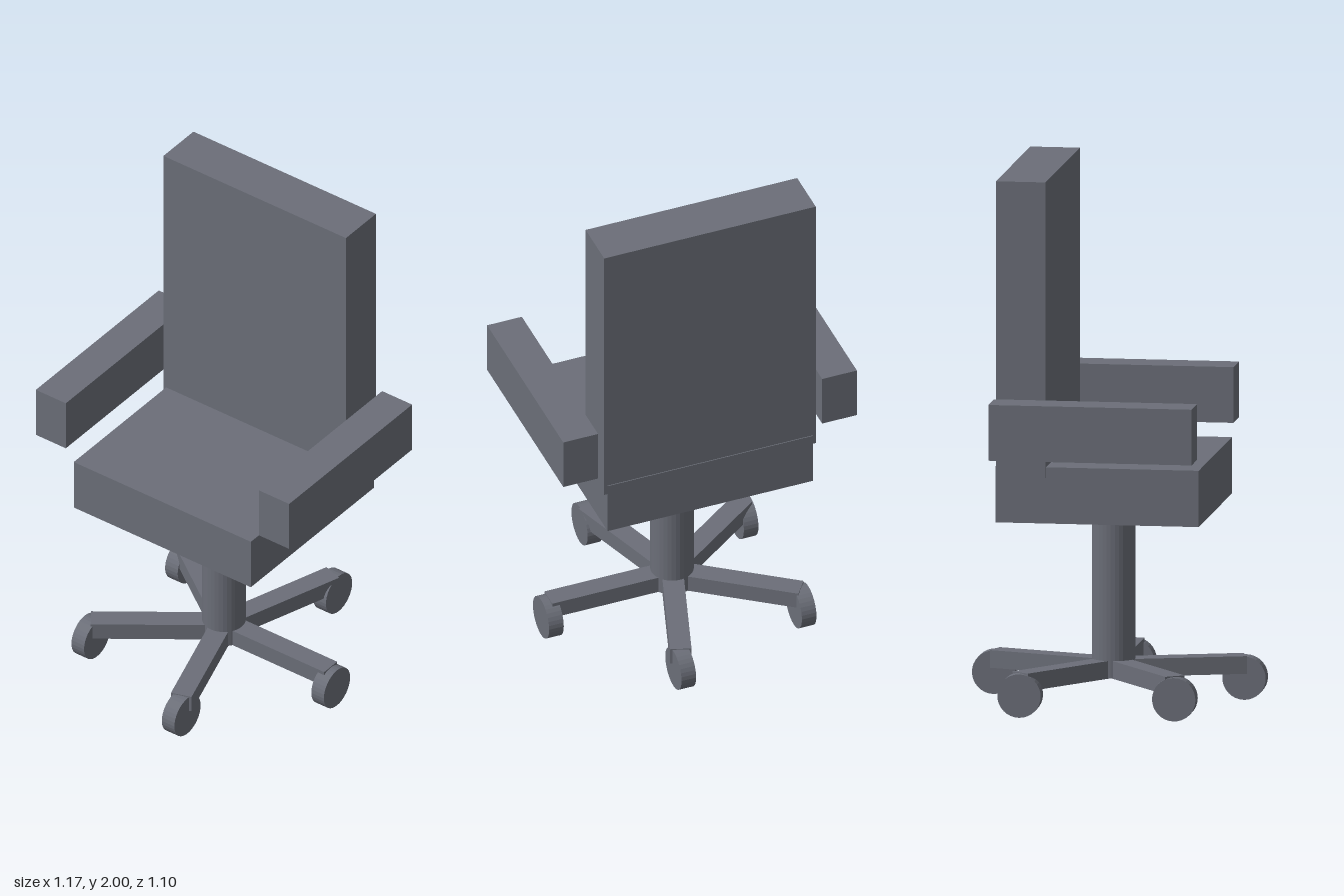
import * as THREE from 'three';

export function createModel() {
  const chair = new THREE.Group();
  chair.name = 'officeChair';
  const slate = new THREE.MeshStandardMaterial({ color: 0x6b6e78, flatShading: true });
  slate.name = 'slateGrey';

  function add(name, geometry, x, y, z, parent = chair) {
    const mesh = new THREE.Mesh(geometry, slate);
    mesh.name = name;
    mesh.position.set(x, y, z);
    parent.add(mesh);
    return mesh;
  }

  // Seat cushion and backrest
  add('seat', new THREE.BoxGeometry(0.815, 0.21, 0.758), -0.001, 0.83, 0);
  add('backrest', new THREE.BoxGeometry(0.84, 1.105, 0.185), -0.001, 1.4475, -0.283);

  // Armrests
  for (const side of [-1, 1]) {
    add(side > 0 ? 'leftArmrest' : 'rightArmrest',
      new THREE.BoxGeometry(0.138, 0.208, 0.758), side * 0.514, 1.086, 0);
  }

  // Support column
  add('column', new THREE.CylinderGeometry(0.081, 0.081, 0.63, 32), 0, 0.415, 0);

  // Five-legged base with parallel wheels
  const reach = 0.491;
  const legGeometry = new THREE.BoxGeometry(reach, 0.066, 0.08).translate(reach / 2, 0, 0);
  const wheelGeometry = new THREE.CylinderGeometry(0.081, 0.081, 0.058, 32).rotateZ(Math.PI / 2);
  const base = new THREE.Group();
  base.name = 'base';
  chair.add(base);
  for (let i = 0; i < 5; i++) {
    const angle = (i * Math.PI * 2) / 5;
    add('leg' + (i + 1), legGeometry, 0, 0.132, 0, base).rotation.y = -angle;
    add('wheel' + (i + 1), wheelGeometry,
      reach * Math.cos(angle), 0.081, reach * Math.sin(angle), base);
  }

  return chair;
}
